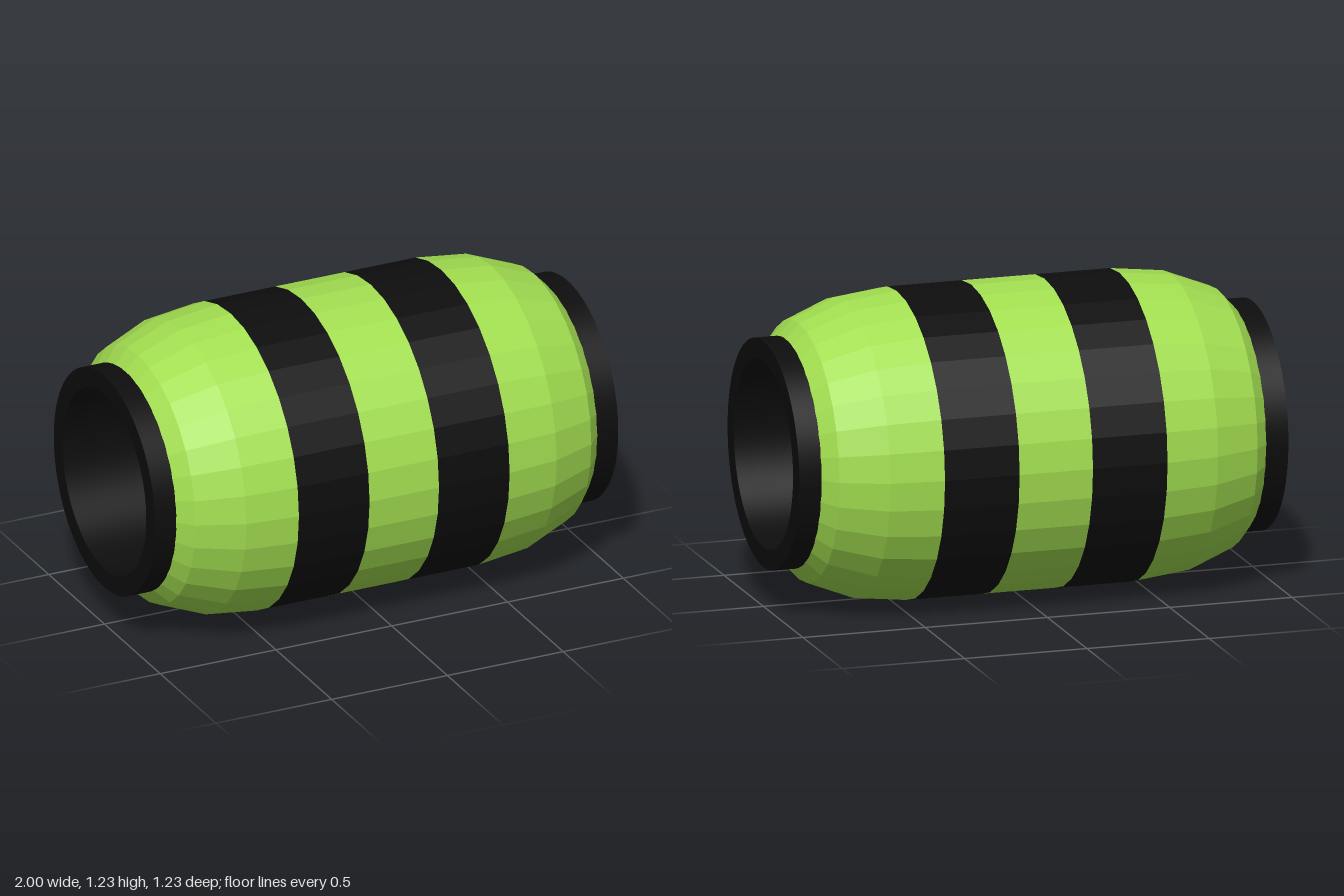
import * as THREE from 'three';

const R = 0.613; // largest radius, also the height of the axis

export function createModel() {
  const model = new THREE.Group();
  const green = new THREE.MeshStandardMaterial({ color: 0xa2de50, flatShading: true });
  const black = new THREE.MeshStandardMaterial({ color: 0x0d0d0d, flatShading: true });
  const smoothBlack = new THREE.MeshStandardMaterial({ color: 0x0d0d0d });

  // Revolve [x, radius] points around the horizontal x axis
  function revolve(name, points, sides, material) {
    const geometry = new THREE.LatheGeometry(points.map(([x, r]) => new THREE.Vector2(r, x)), sides);
    geometry.rotateZ(-Math.PI / 2);
    const mesh = new THREE.Mesh(geometry, material);
    mesh.name = name;
    mesh.position.y = R;
    model.add(mesh);
  }

  // Faceted barrel: straight middle, flush dark bands, rounded shoulders
  revolve('middleBody', [[-0.15, R], [0.15, R]], 32, green);
  revolve('leftBand', [[0.15, R], [0.455, R]], 32, black);
  revolve('rightBand', [[-0.455, R], [-0.15, R]], 32, black);
  const shoulder = [[0.455, R], [0.67, 0.588], [0.855, 0.515], [0.91, 0.455], [0.91, 0.44]];
  revolve('leftShoulder', shoulder, 32, green);
  revolve('rightShoulder', shoulder.map(([x, r]) => [-x, r]).reverse(), 32, green);

  // End collars, each with an outer wall and a flat rim
  const rim = [[1, 0.455], [1, 0.375]];
  revolve('leftCollar', [[0.9, 0.455], [1, 0.455]], 96, smoothBlack);
  revolve('leftRim', rim, 96, smoothBlack);
  revolve('rightCollar', [[-1, 0.455], [-0.9, 0.455]], 96, smoothBlack);
  revolve('rightRim', rim.map(([x, r]) => [-x, r]).reverse(), 96, smoothBlack);

  // Bore running right through, facing inwards
  revolve('bore', [[1, 0.375], [-1, 0.375]], 96, smoothBlack);

  return model;
}
